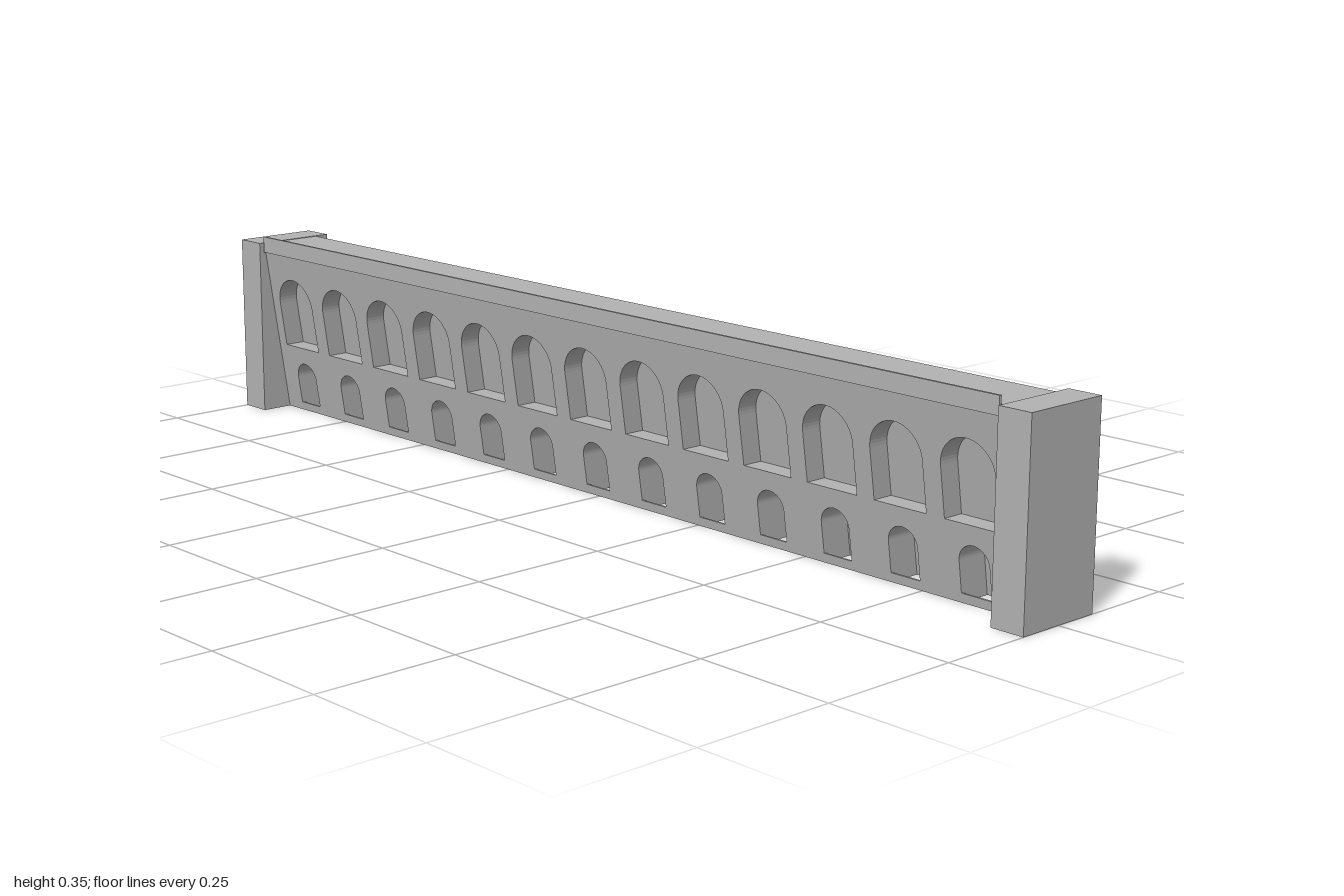
import * as THREE from 'three';

const BAYS = 13, STEP = 0.1435, LEAN = 0.15;
const HALF = 0.94, TOP = 0.33, FRONT = 0.02;
const bayX = i => (i - (BAYS - 1) / 2) * STEP;

// Round-headed opening used as a hole
function archHole(x, y0, y1, width) {
  const r = width / 2, p = new THREE.Path();
  p.moveTo(x - r, y0);
  p.lineTo(x + r, y0);
  p.lineTo(x + r, y1 - r);
  p.absarc(x, y1 - r, r, 0, Math.PI, false);
  p.lineTo(x - r, y0);
  return p;
}

// Wall outline; the small arches may run right down through its foot
function wallShape(openFoot) {
  const s = new THREE.Shape(), r = 0.03, spring = 0.07;
  s.moveTo(-HALF, 0);
  if (openFoot) {
    for (let i = 0; i < BAYS; i++) {
      const x = bayX(i);
      s.lineTo(x - r, 0);
      s.lineTo(x - r, spring);
      s.absarc(x, spring, r, Math.PI, 0, true);
      s.lineTo(x + r, 0);
    }
  }
  s.lineTo(HALF, 0);
  s.lineTo(HALF, TOP);
  s.lineTo(-HALF, TOP);
  s.lineTo(-HALF, 0);
  return s;
}

// One layer of the wall between two depths, leaning forward with height
function wallLayer(shape, from, to) {
  const g = new THREE.ExtrudeGeometry(shape, { depth: to - from, bevelEnabled: false, curveSegments: 14 });
  const p = g.attributes.position;
  for (let i = 0; i < p.count; i++) p.setZ(i, p.getZ(i) + FRONT - to + LEAN * p.getY(i));
  g.computeVertexNormals();
  return g;
}

export function createModel() {
  const model = new THREE.Group();
  model.name = 'archedWall';
  const stone = new THREE.MeshStandardMaterial({ color: 0xb2b2b2 });
  stone.name = 'grey stone';

  const add = (name, geometry, x = 0, y = 0, z = 0) => {
    const m = new THREE.Mesh(geometry, stone);
    m.name = name;
    m.position.set(x, y, z);
    model.add(m);
    return m;
  };

  // Front skin with two rows of arches, then the deeper layers behind it
  const skin = wallShape(false), middle = wallShape(true), inner = wallShape(true);
  for (let i = 0; i < BAYS; i++) {
    const x = bayX(i);
    skin.holes.push(archHole(x, 0.016, 0.1, 0.06), archHole(x, 0.133, 0.273, 0.107));
    middle.holes.push(archHole(x, 0.133, 0.273, 0.107));
  }
  add('wallFace', wallLayer(skin, 0, 0.004));
  add('nicheLayer', wallLayer(middle, 0.004, 0.04));
  add('lowerNicheLayer', wallLayer(inner, 0.04, 0.06));
  add('wallBack', wallLayer(wallShape(false), 0.06, 0.08));

  // Deck and thin parapet along its front edge
  add('deck', new THREE.BoxGeometry(2 * HALF, 0.012, 0.125), 0, 0.333, 0.0075);
  add('parapet', new THREE.BoxGeometry(1.868, 0.031, 0.005), 0, 0.3375, 0.0725);

  // End piers
  for (const side of [-1, 1]) {
    add(side > 0 ? 'leftPier' : 'rightPier', new THREE.BoxGeometry(0.062, 0.34, 0.164), side * 0.969, 0.17, 0);
  }

  // Curved buttresses behind the wall; profile is drawn as (-z, y)
  const rib = new THREE.Shape();
  rib.moveTo(0.05, 0);
  rib.lineTo(0.082, 0);
  rib.lineTo(0.08, 0.08);
  rib.quadraticCurveTo(0.073, 0.15, 0.044, 0.2);
  rib.lineTo(0.022, 0.2);
  rib.lineTo(0.05, 0);
  const ribGeo = new THREE.ExtrudeGeometry(rib, { depth: 0.016, bevelEnabled: false, curveSegments: 6 });
  ribGeo.translate(0, 0, -0.008);
  ribGeo.rotateY(Math.PI / 2);
  for (let i = 0; i <= BAYS; i++) add('buttress', ribGeo, bayX(i - 0.5));

  return model;
}
